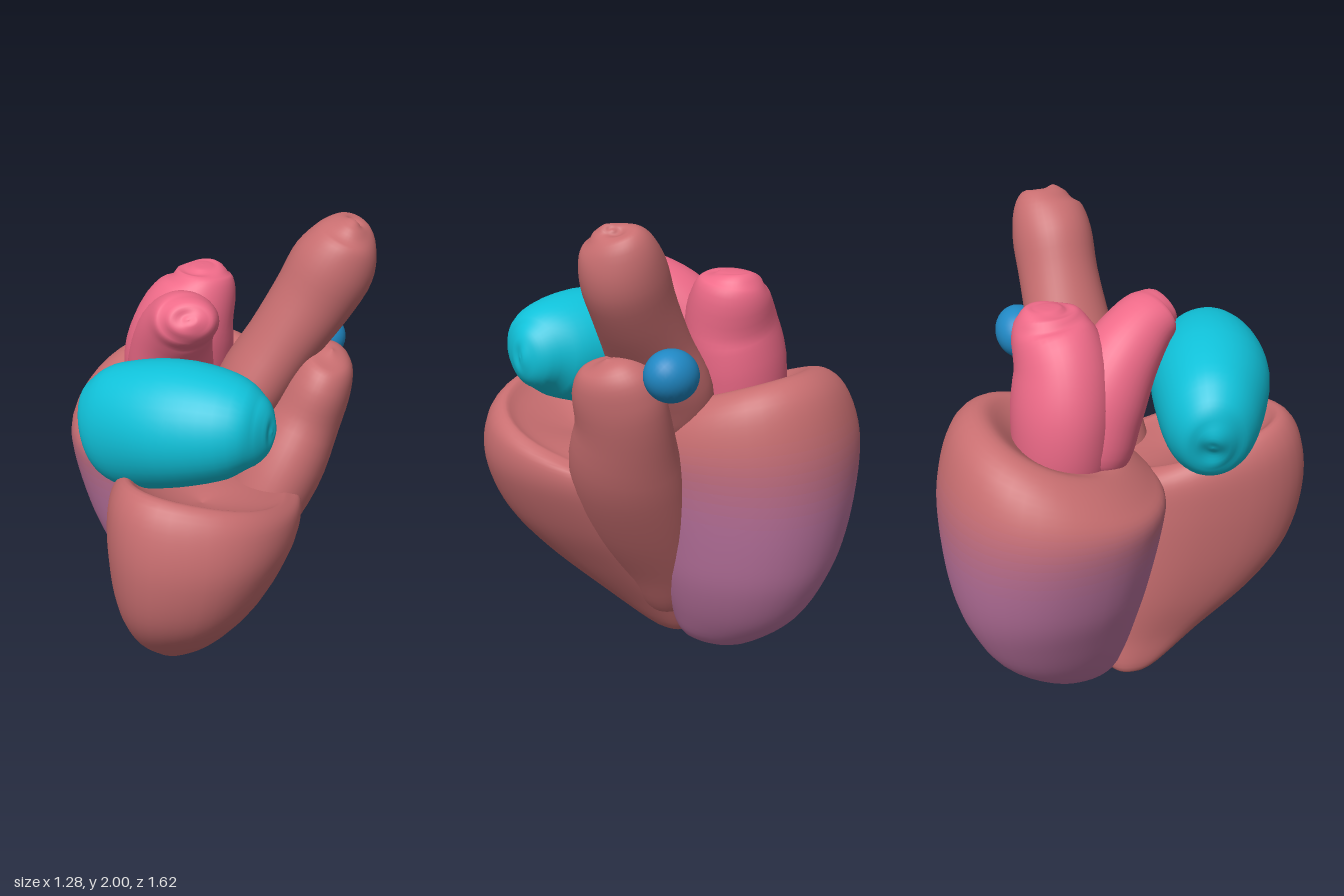
import * as THREE from 'three';

const SEG = 40, ROWS = 48;
const MUSCLE = 0xc86e70, MAUVE = 0xbc74a0, PINK = 0xee6a88, CYAN = 0x10c2da, BLUE = 0x2088c4;

const material = (color) => new THREE.MeshStandardMaterial({ color, roughness: 0.7, side: THREE.DoubleSide });

// Smooth curve through three chosen columns of a section table
const columns = (table, a, b, c) =>
  new THREE.CatmullRomCurve3(table.map((r) => new THREE.Vector3(r[a], r[b], r[c])), false, 'catmullrom', 0.5);

// Closed skin over rings; ringPoint(t, angle) gives each surface point
function skin(ringPoint) {
  const pos = [], index = [];
  for (let i = 0; i <= ROWS; i++) {
    for (let j = 0; j < SEG; j++) {
      pos.push(...ringPoint(i / ROWS, (j / SEG) * Math.PI * 2).toArray());
      if (i === ROWS) continue;
      const k = (j + 1) % SEG;
      const a = i * SEG + j, b = i * SEG + k, c = a + SEG, d = b + SEG;
      index.push(a, b, d, a, d, c);
    }
  }
  const g = new THREE.BufferGeometry();
  g.setAttribute('position', new THREE.Float32BufferAttribute(pos, 3));
  g.setIndex(index);
  g.computeVertexNormals();
  return g;
}

// Chamber from level sections [y, xMin, xMax, zMin, zMax, tilt towards +z];
// lean turns the tilt sideways, shear slants the plan
function chamber(sections, power, lean, shear) {
  const c1 = columns(sections, 0, 1, 2), c2 = columns(sections, 3, 4, 5);
  const round = (v) => Math.sign(v) * Math.pow(Math.abs(v), 2 / power);
  return skin((t, angle) => {
    const p = c1.getPoint(t), q = c2.getPoint(t);
    const dx = ((p.z - p.y) / 2) * round(Math.cos(angle));
    const dz = -((q.y - q.x) / 2) * round(Math.sin(angle));
    return new THREE.Vector3(
      (p.y + p.z) / 2 + dx + shear * dz,
      p.x + q.z * (dz - lean * dx),
      (q.x + q.y) / 2 + dz);
  });
}

// Vessel from stations [x, y, z, radius across ref, radius along ref]
function vessel(stations, ref) {
  const path = columns(stations, 0, 1, 2), radii = columns(stations, 3, 4, 4);
  return skin((t, angle) => {
    const s = (1 - Math.cos(t * Math.PI)) / 2;
    const T = path.getTangent(s), r = radii.getPoint(s);
    const B = ref.clone().addScaledVector(T, -ref.dot(T)).normalize();
    const A = B.clone().cross(T);
    return path.getPoint(s)
      .addScaledVector(A, Math.max(r.x, 0) * Math.cos(angle))
      .addScaledVector(B, Math.max(r.y, 0) * Math.sin(angle));
  });
}

export function createModel() {
  const heart = new THREE.Group();
  heart.name = 'heart';
  const X = new THREE.Vector3(1, 0, 0), Y = new THREE.Vector3(0, 1, 0), Z = new THREE.Vector3(0, 0, 1);
  const add = (name, geometry, mat) => {
    const mesh = new THREE.Mesh(geometry, mat);
    mesh.name = name;
    heart.add(mesh);
    return mesh;
  };

  // Rear ventricle: a deep cup with a rolled rim, rising to the back and left
  const rear = chamber([
    [0.02, -0.15, -0.15, -0.26, -0.26, 0],
    [0.05, -0.26, -0.04, -0.4, -0.09, 0],
    [0.2, -0.38, 0.07, -0.6, -0.03, 0],
    [0.4, -0.49, 0.16, -0.72, 0.01, 0],
    [0.6, -0.58, 0.21, -0.78, 0.04, 0],
    [0.85, -0.645, 0.25, -0.81, 0.08, 0],
    [1.02, -0.65, 0.26, -0.8, 0.09, -0.1],
    [1.15, -0.59, 0.22, -0.73, 0.03, -0.27],
    [1.22, -0.49, 0.13, -0.62, -0.07, -0.35],
    [1.19, -0.4, 0.04, -0.52, -0.16, -0.3],
    [1.06, -0.19, -0.19, -0.34, -0.34, 0],
  ], 2.15, 0.45, 0);
  // Colour bands fade from mauve at the tip to muscle red at the rim
  const shades = [];
  const position = rear.attributes.position;
  for (let i = 0; i < ROWS; i++) {
    const blend = i > ROWS * 0.65 ? 1 : THREE.MathUtils.smoothstep(position.getY(i * SEG), 0.65, 1.12);
    rear.addGroup(i * SEG * 6, SEG * 6, i);
    shades.push(material(new THREE.Color(MAUVE).lerp(new THREE.Color(MUSCLE), blend)));
  }
  add('rearVentricle', rear, shades);

  // Front ventricle: open cup with a high front lip, lower on its left
  add('frontVentricle', chamber([
    [0, -0.2, -0.2, 0, 0, 0],
    [0.04, -0.26, -0.12, -0.1, 0.1, 0],
    [0.2, -0.29, -0.01, -0.14, 0.33, 0],
    [0.4, -0.35, 0.12, -0.16, 0.59, 0],
    [0.6, -0.39, 0.24, -0.16, 0.75, 0],
    [0.82, -0.41, 0.33, -0.14, 0.81, 0.04],
    [0.97, -0.4, 0.34, -0.1, 0.78, 0.15],
    [1.03, -0.34, 0.29, -0.02, 0.7, 0.26],
    [1.0, -0.27, 0.22, 0.05, 0.61, 0.2],
    [0.94, -0.05, -0.05, 0.33, 0.33, 0],
  ], 2.3, 0.75, -0.12), material(MUSCLE));

  // Outflow horn sweeping up the left flank of the front ventricle
  add('outflowHorn', vessel([
    [-0.17, 0.06, 0.0, 0, 0],
    [-0.1, 0.2, -0.01, 0.08, 0.12],
    [0.0, 0.42, 0.0, 0.12, 0.2],
    [0.13, 0.68, 0.02, 0.16, 0.24],
    [0.26, 0.95, 0.01, 0.18, 0.24],
    [0.36, 1.17, -0.03, 0.155, 0.2],
    [0.42, 1.33, -0.03, 0.135, 0.185],
    [0.455, 1.43, -0.02, 0.095, 0.13],
    [0.465, 1.47, -0.01, 0, 0],
  ], Z), material(MUSCLE));

  // Great artery, leaning out to the left
  add('greatArtery', vessel([
    [0.06, 1.06, -0.1, 0, 0],
    [0.08, 1.11, -0.1, 0.12, 0.16],
    [0.14, 1.27, -0.1, 0.15, 0.21],
    [0.26, 1.47, -0.09, 0.15, 0.18],
    [0.38, 1.66, -0.085, 0.165, 0.165],
    [0.46, 1.81, -0.08, 0.17, 0.165],
    [0.51, 1.92, -0.08, 0.125, 0.14],
    [0.53, 1.975, -0.07, 0.06, 0.08],
    [0.535, 1.985, -0.07, 0, 0],
  ], Z), material(MUSCLE));

  // Front atrium
  add('frontAtrium', vessel([
    [-0.51, 1.21, 0.2, 0, 0],
    [-0.5, 1.215, 0.205, 0.08, 0.11],
    [-0.46, 1.225, 0.22, 0.15, 0.19],
    [-0.35, 1.25, 0.27, 0.205, 0.25],
    [-0.14, 1.31, 0.37, 0.245, 0.25],
    [0.06, 1.34, 0.45, 0.21, 0.205],
    [0.17, 1.34, 0.48, 0.13, 0.14],
    [0.215, 1.34, 0.495, 0.06, 0.08],
    [0.225, 1.34, 0.5, 0, 0],
  ], Y), material(CYAN));

  // Rear atrium: a body with an upright lobe and a second lobe to the front
  const pink = material(PINK);
  add('rearAtrium', vessel([
    [-0.18, 0.98, -0.3, 0, 0],
    [-0.18, 1.04, -0.3, 0.18, 0.17],
    [-0.18, 1.28, -0.3, 0.23, 0.2],
    [-0.14, 1.48, -0.28, 0.21, 0.19],
    [-0.08, 1.62, -0.3, 0.155, 0.16],
    [-0.07, 1.69, -0.31, 0.11, 0.12],
    [-0.07, 1.715, -0.31, 0.05, 0.06],
    [-0.07, 1.72, -0.31, 0, 0],
  ], Z), pink);
  add('rearAtriumFrontLobe', vessel([
    [-0.2, 1.05, -0.24, 0, 0],
    [-0.2, 1.12, -0.21, 0.16, 0.17],
    [-0.2, 1.32, -0.15, 0.18, 0.18],
    [-0.18, 1.49, -0.06, 0.16, 0.16],
    [-0.14, 1.6, 0.05, 0.13, 0.14],
    [-0.11, 1.64, 0.13, 0.1, 0.125],
    [-0.105, 1.66, 0.18, 0.06, 0.08],
    [-0.105, 1.665, 0.19, 0, 0],
  ], X), pink);

  // Small appendage behind the outflow horn
  const ear = add('appendage', new THREE.SphereGeometry(1, 32, 20), material(BLUE));
  ear.position.set(0.415, 1.42, -0.255);
  ear.scale.set(0.12, 0.105, 0.1);
  ear.rotation.set(-0.5, -0.4, 0.3);

  return heart;
}
